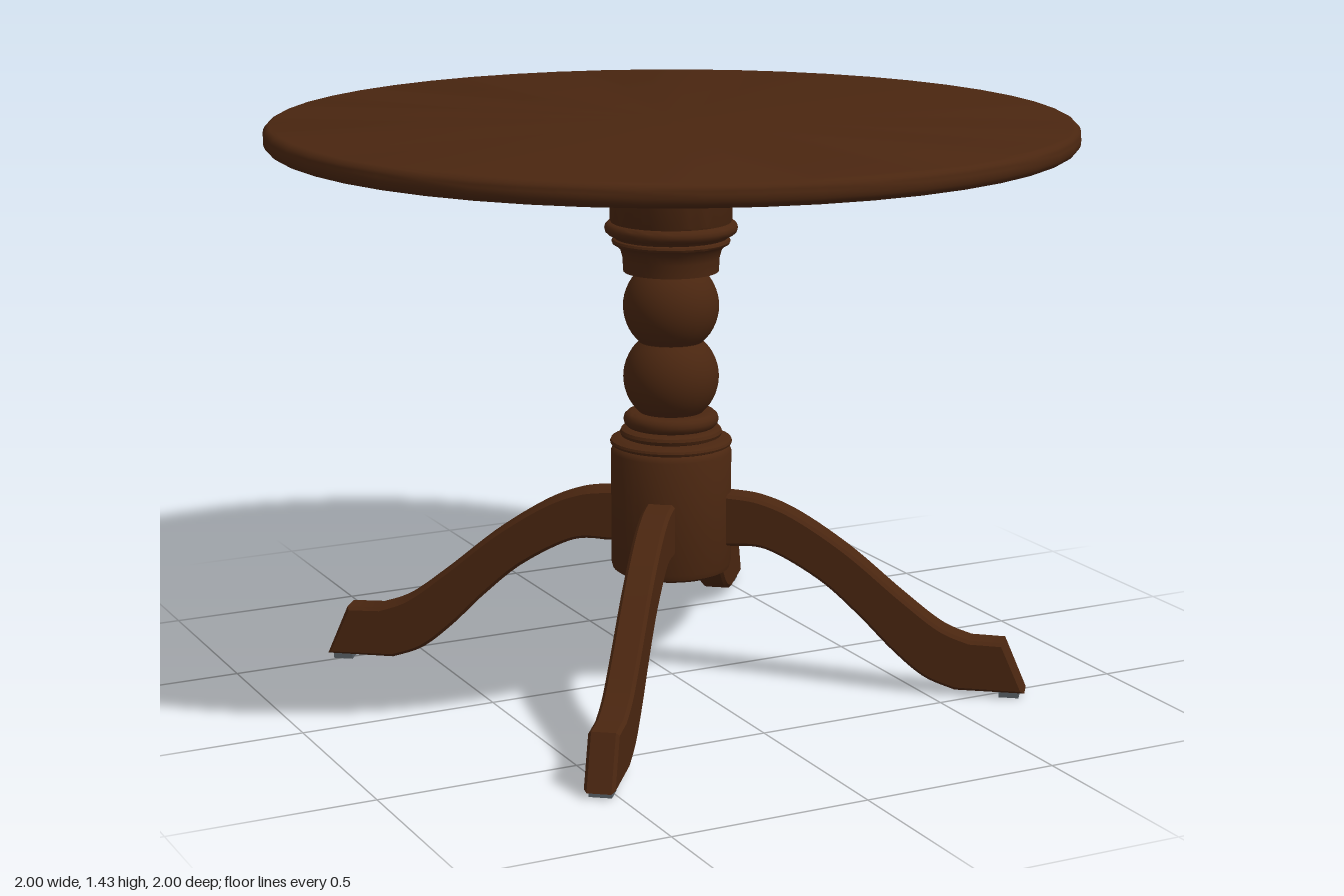
import * as THREE from 'three';
import { toCreasedNormals } from 'three/addons/utils/BufferGeometryUtils.js';

const V = (x, y) => new THREE.Vector2(x, y);

// Arc of profile points around (cx, cy), from angle a to b
function arc(cx, cy, r, a, b, n) {
  const pts = [];
  for (let i = 0; i <= n; i++) {
    const t = a + (b - a) * i / n;
    pts.push(V(cx + r * Math.cos(t), cy + r * Math.sin(t)));
  }
  return pts;
}

export function createModel() {
  const wood = new THREE.MeshStandardMaterial({ color: 0x4a2610 });
  wood.name = 'dark wood';
  const metal = new THREE.MeshStandardMaterial({ color: 0x596066 });
  metal.name = 'grey metal';

  const model = new THREE.Group();
  model.name = 'pedestalTable';
  const base = new THREE.Group();
  base.name = 'base';
  base.position.set(-0.004, 0, 0.003);
  model.add(base);

  function add(parent, name, geometry, material) {
    const mesh = new THREE.Mesh(geometry, material);
    mesh.name = name;
    parent.add(mesh);
    return mesh;
  }
  const turned = (pts, sides) => toCreasedNormals(new THREE.LatheGeometry(pts, sides), 0.6);

  // Round top with a softened rim
  const h = Math.PI / 2;
  add(model, 'tableTop', turned([
    V(0, 1.378),
    ...arc(0.976, 1.402, 0.024, -h, 0, 5),
    ...arc(0.976, 1.411, 0.024, 0, h, 5),
    V(0, 1.435),
  ], 48), wood);

  // Mounting plate under the top
  const plate = add(base, 'mountingPlate', new THREE.CylinderGeometry(0.308, 0.308, 0.036, 40), wood);
  plate.position.y = 1.362;

  // Turned column: drum, mouldings, two balls, collar and upper drum
  add(base, 'column', turned([
    V(0, 0.287), V(0.138, 0.287), V(0.148, 0.294), V(0.152, 0.308),
    V(0.152, 0.597), V(0.146, 0.608), V(0.14, 0.612),
    ...arc(0.146, 0.621, 0.008, -h, h, 4),
    V(0.126, 0.634),
    ...arc(0.118, 0.645, 0.011, -h, h, 4),
    V(0.108, 0.658),
    ...arc(0.1, 0.678, 0.02, -h, h, 6),
    ...arc(0, 0.787, 0.12, -0.84, 0.84, 14),
    ...arc(0, 0.967, 0.12, -0.84, 0.84, 14),
    V(0.119, 1.056), V(0.121, 1.09), V(0.127, 1.112), V(0.137, 1.122),
    ...arc(0.14, 1.132, 0.008, -h, h, 4),
    V(0.146, 1.147),
    ...arc(0.15, 1.165, 0.016, -h, h, 6),
    V(0.152, 1.186), V(0.152, 1.35),
  ], 40), wood);

  // Curved leg outline: x runs outward from the column
  const outline = new THREE.Shape();
  outline.moveTo(0.08, 0.36);
  outline.lineTo(0.16, 0.36);
  outline.splineThru([
    V(0.25, 0.355), V(0.38, 0.285), V(0.48, 0.2), V(0.57, 0.11), V(0.65, 0.045), V(0.73, 0.014),
  ]);
  outline.lineTo(0.905, 0.014);
  outline.lineTo(0.85, 0.143);
  outline.lineTo(0.765, 0.145);
  outline.splineThru([
    V(0.69, 0.175), V(0.59, 0.25), V(0.456, 0.36), V(0.325, 0.445), V(0.23, 0.483), V(0.15, 0.493),
  ]);
  outline.lineTo(0.08, 0.493);
  const width = 0.074, bevel = 0.008;
  const legGeometry = new THREE.ExtrudeGeometry(outline, {
    depth: width - 2 * bevel, curveSegments: 20,
    bevelEnabled: true, bevelSize: bevel, bevelThickness: bevel, bevelOffset: -bevel, bevelSegments: 1,
  });
  legGeometry.translate(0, 0, -width / 2 + bevel);
  const smoothLeg = toCreasedNormals(legGeometry, 0.5);

  // Four legs with foot pads, and four screws through the plate
  const padGeometry = new THREE.BoxGeometry(0.05, 0.016, 0.055);
  const headGeometry = new THREE.CylinderGeometry(0.024, 0.016, 0.012, 12);
  const boltGeometry = new THREE.CylinderGeometry(0.01, 0.01, 0.012, 8);
  for (let i = 0; i < 4; i++) {
    const leg = new THREE.Group();
    leg.name = 'leg' + (i + 1);
    leg.rotation.y = -0.645 + i * h;
    base.add(leg);
    add(leg, 'legBody', smoothLeg, wood);
    add(leg, 'footPad', padGeometry, metal).position.set(0.866, 0.008, 0);

    const screw = new THREE.Group();
    screw.name = 'screw' + (i + 1);
    const t = 0.7 + i * h;
    screw.position.set(0.25 * Math.cos(t), 1.338, 0.25 * Math.sin(t));
    base.add(screw);
    add(screw, 'screwHead', headGeometry, metal);
    add(screw, 'screwTip', boltGeometry, metal).position.y = -0.01;
  }
  return model;
}
